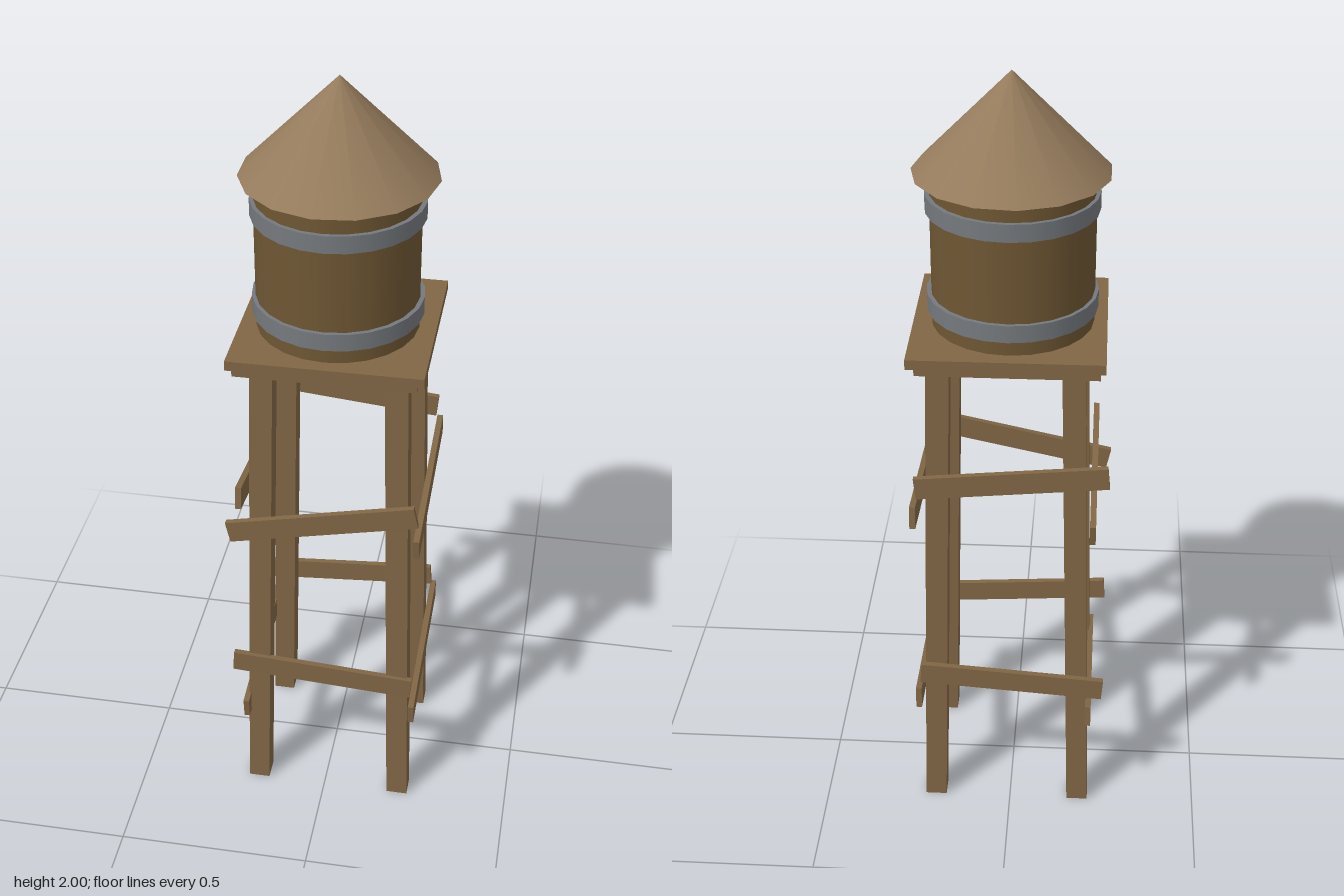
import * as THREE from 'three';

const paint = (color) => new THREE.MeshStandardMaterial({ color });

export function createModel() {
  const model = new THREE.Group();
  const wood = paint(0x806645), roofWood = paint(0x957b5c);
  const stave = paint(0x6e5633), metal = paint(0x75797d);

  const add = (name, geometry, material, x, y, z) => {
    const mesh = new THREE.Mesh(geometry, material);
    mesh.name = name;
    mesh.position.set(x, y, z);
    model.add(mesh);
    return mesh;
  };

  // Legs: square posts sheared inward, with level ends
  const legHeight = 1.33;
  const leg = (name, bottom, top) => {
    const geo = new THREE.BoxGeometry(0.056, legHeight, 0.056);
    geo.translate(0, legHeight / 2, 0);
    const p = geo.attributes.position;
    for (let i = 0; i < p.count; i++) {
      const t = p.getY(i) / legHeight;
      p.setX(i, p.getX(i) + THREE.MathUtils.lerp(bottom[0], top[0], t));
      p.setZ(i, p.getZ(i) + THREE.MathUtils.lerp(bottom[1], top[1], t));
    }
    geo.computeVertexNormals();
    add(name, geo, wood, 0, 0, 0);
  };
  for (const [side, xb, xt] of [['Left', 0.203, 0.172], ['Right', -0.184, -0.153]]) {
    leg('front' + side + 'Leg', [xb, 0.188], [xt, 0.156]);
    leg('back' + side + 'Leg', [xb, -0.174], [xt, -0.155]);
  }

  // Braces: planks nailed across each pair of legs, y0 to y1 along +x or +z
  const span = 0.475;
  const brace = (name, axis, offset, y0, y1) => {
    const angle = Math.atan2(y1 - y0, span);
    const length = span / Math.cos(angle);
    const y = (y0 + y1) / 2;
    if (axis === 'x') {
      const mesh = add(name, new THREE.BoxGeometry(length, 0.058, 0.015), wood, -0.006, y, offset);
      mesh.rotation.z = angle;
    } else {
      const mesh = add(name, new THREE.BoxGeometry(0.015, 0.058, length), wood, offset, y, -0.001);
      mesh.rotation.x = -angle;
    }
  };
  brace('frontUpperBrace', 'x', 0.208, 0.853, 0.957);
  brace('frontLowerBrace', 'x', 0.208, 0.42, 0.39);
  brace('backUpperBrace', 'x', -0.214, 1.056, 1.01);
  brace('backLowerBrace', 'x', -0.214, 0.4, 0.436);
  brace('leftUpperBrace', 'z', 0.237, 0.937, 0.876);
  brace('leftLowerBrace', 'z', 0.237, 0.368, 0.32);
  brace('rightUpperBrace', 'z', -0.208, 0.9, 0.98);
  brace('rightLowerBrace', 'z', -0.208, 0.325, 0.272);

  // Platform in two layers
  add('platformFrame', new THREE.BoxGeometry(0.44, 0.025, 0.435), wood, 0.004, 1.3375, 0.001);
  add('platformDeck', new THREE.BoxGeometry(0.471, 0.025, 0.467), wood, 0.007, 1.3625, 0.001);

  // Tank with two metal bands
  add('tank', new THREE.CylinderGeometry(0.198, 0.198, 0.385, 24), stave, 0.002, 1.5675, 0.002);
  for (const [name, y] of [['lowerBand', 1.435], ['upperBand', 1.689]]) {
    add(name, new THREE.CylinderGeometry(0.208, 0.208, 0.044, 24), metal, 0.003, y, 0.002);
  }

  // Conical roof with fifteen sides, one corner towards +x
  add('roof', new THREE.ConeGeometry(0.236, 0.24, 15, 1, false, Math.PI / 2), roofWood, 0.004, 1.88, -0.006);

  return model;
}
